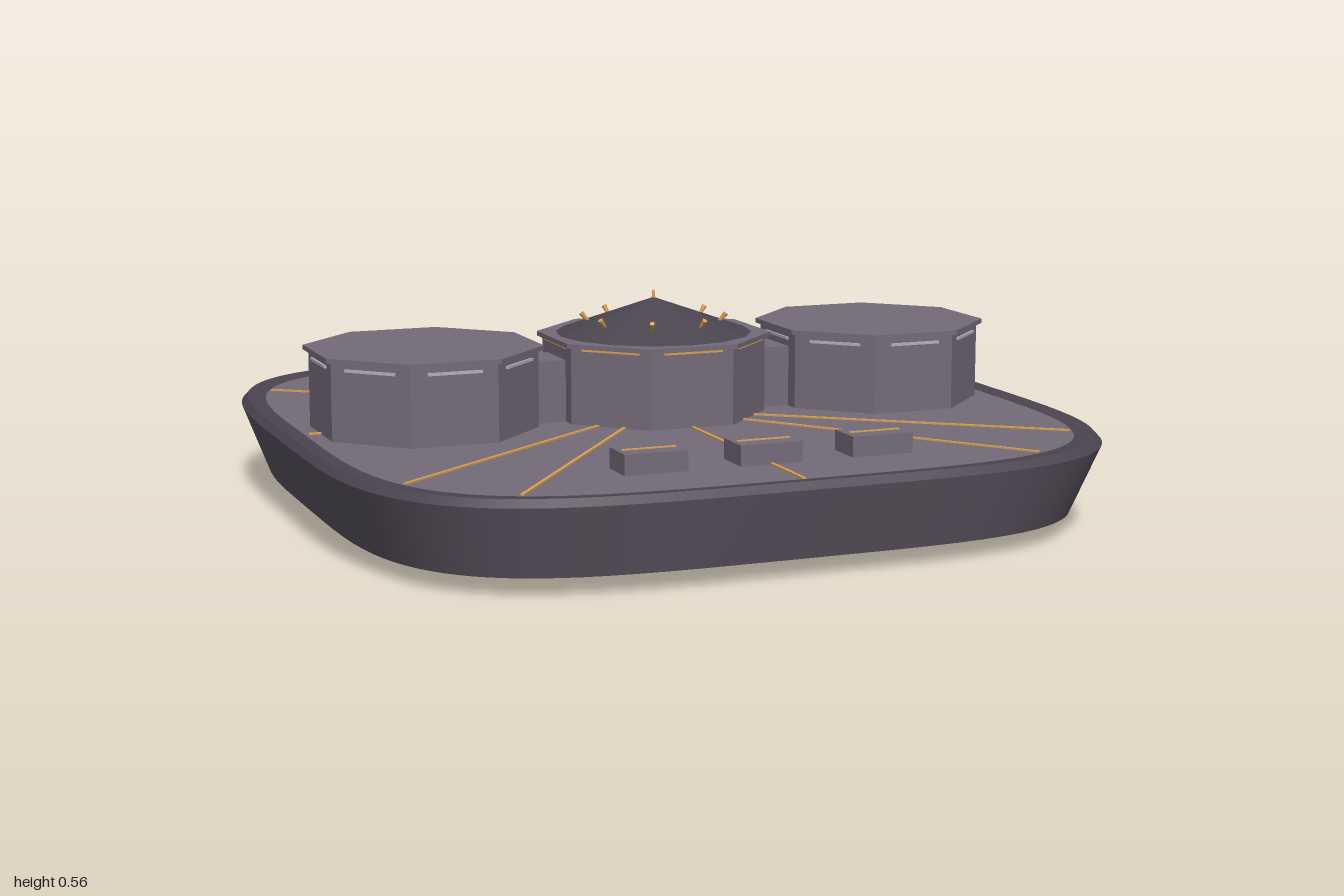
import * as THREE from 'three';

const paint = (name, color) => {
  const m = new THREE.MeshStandardMaterial({ color });
  m.name = name;
  return m;
};

export function createModel() {
  const model = new THREE.Group();
  const deckMat = paint('mauve deck', 0x756b7a);
  const hullMat = paint('grey hull', 0x625a67);
  const darkMat = paint('dark plate', 0x4b4550);
  const goldMat = paint('gold light', 0xdca050);
  const paleMat = paint('pale window', 0xb4b0ba);
  const redMat = paint('red lens', 0xb0402c);

  const add = (name, geo, mat, x = 0, y = 0, z = 0, ry = 0, parent = model) => {
    const mesh = new THREE.Mesh(geo, mat);
    mesh.name = name;
    mesh.position.set(x, y, z);
    mesh.rotation.y = ry;
    parent.add(mesh);
    return mesh;
  };
  const box = (w, h, d) => new THREE.BoxGeometry(w, h, d);

  // Band between two rounded-square outlines, each given as [scale, y]
  const band = ([s0, y0], [s1, y1], n = 96) => {
    const pos = [], index = [];
    const corner = (v) => Math.sign(v) * Math.sqrt(Math.abs(v));
    for (let i = 0; i < n; i++) {
      const t = (i / n) * Math.PI * 2;
      const x = corner(Math.cos(t)), z = corner(Math.sin(t));
      pos.push(x * s0, y0, z * s0, x * s1, y1, z * s1);
      const a = 2 * i, b = 2 * ((i + 1) % n);
      index.push(a, a + 1, b, a + 1, b + 1, b);
    }
    const g = new THREE.BufferGeometry();
    g.setAttribute('position', new THREE.Float32BufferAttribute(pos, 3));
    g.setIndex(index);
    g.computeVertexNormals();
    return g;
  };

  // Hull from the underside up to the deck
  add('underside', band([0, 0.018], [0.935, 0.045]), darkMat);
  add('hullSide', band([0.935, 0.045], [1, 0.222]), hullMat);
  add('rimEdge', band([1, 0.222], [0.985, 0.24]), darkMat);
  add('rimTop', band([0.985, 0.24], [0.94, 0.235]), darkMat);
  add('deck', band([0.94, 0.235], [0, 0.235]), deckMat);

  // Octagonal prism with flat sides on the axes
  const octagon = (halfWidth, height) => {
    const r = halfWidth / Math.cos(Math.PI / 8);
    const g = new THREE.CylinderGeometry(r, r, height, 8).rotateY(Math.PI / 8).toNonIndexed();
    g.computeVertexNormals();
    return g;
  };
  const building = (name, x, stripMat, stripY, stripWidth) => {
    const group = new THREE.Group();
    group.name = name;
    group.position.x = x;
    model.add(group);
    add('walls', octagon(0.27, 0.2), deckMat, 0, 0.335, 0, 0, group);
    add('roofSlab', octagon(0.283, 0.012), deckMat, 0, 0.439, 0, 0, group);
    for (let k = 0; k < 8; k++) {
      const a = (k * Math.PI) / 4;
      add('wallStrip', box(stripWidth, 0.007, 0.008), stripMat,
        Math.sin(a) * 0.272, stripY, Math.cos(a) * 0.272, a, group);
    }
    return group;
  };
  building('sidePodLeft', 0.628, paleMat, 0.416, 0.14);
  building('sidePodRight', -0.628, paleMat, 0.416, 0.14);
  const hub = building('centralHub', 0, goldMat, 0.43, 0.16);

  // Faceted cone roof with tip and ring of small lamps
  const cone = new THREE.ConeGeometry(0.26, 0.092, 16).toNonIndexed();
  cone.computeVertexNormals();
  add('coneRoof', cone, darkMat, 0, 0.49, 0, 0, hub);
  add('roofTip', new THREE.CylinderGeometry(0.003, 0.006, 0.03, 8), goldMat, 0, 0.54, 0, 0, hub);
  for (let k = 0; k < 8; k++) {
    const a = ((k + 0.5) * Math.PI) / 4;
    const lamp = add('roofLamp', new THREE.CylinderGeometry(0.007, 0.004, 0.03, 6), goldMat,
      Math.sin(a) * 0.18, 0.482, Math.cos(a) * 0.18, a, hub);
    lamp.rotation.order = 'YXZ';
    lamp.rotation.x = 0.7;
  }

  // Passages from hub to pods
  for (const s of [-1, 1]) {
    add('passage', box(0.12, 0.16, 0.14), deckMat, s * 0.315, 0.315, 0);
  }

  // Radial light lines on the deck, given as angle from +x and outer radius
  for (const sx of [-1, 1]) {
    for (const [x, z] of [[0.93, 0], [0.87, 0.66], [0.66, 0.87], [0, 0.94],
      [0.87, -0.66], [0.66, -0.87], [0, -0.94]]) {
      if (x === 0 && sx < 0) continue;
      const outer = Math.hypot(x, z), inner = z === 0 ? 0.85 : 0.25;
      const mid = (outer + inner) / 2 / outer;
      add('deckLine', box(outer - inner, 0.006, 0.009), goldMat,
        sx * x * mid, 0.236, z * mid, Math.atan2(-z, sx * x));
    }
  }

  // Deck lockers with a light on top
  for (const z of [-0.71, 0.71]) {
    for (const x of [-0.293, 0, 0.293]) {
      add('locker', box(0.16, 0.055, 0.1), deckMat, x, 0.258, z);
      add('lockerLight', box(0.136, 0.004, 0.009), goldMat, x, 0.286, z);
    }
  }

  // Rear hatch
  add('rearHatch', box(0.23, 0.09, 0.03), hullMat, 0, 0.095, -0.945);

  // Underside lens, thrusters and dashed light ring
  add('lensRing', new THREE.CylinderGeometry(0.165, 0.155, 0.02, 32), hullMat, 0, 0.02, 0);
  const lens = new THREE.SphereGeometry(0.14, 32, 8, 0, Math.PI * 2, Math.PI / 2, Math.PI / 2);
  add('lens', lens.scale(1, 0.01 / 0.14, 1), redMat, 0, 0.01, 0);
  for (let k = 0; k < 6; k++) {
    const a = ((k + 0.5) * Math.PI) / 3;
    const x = Math.cos(a) * 0.72, z = Math.sin(a) * 0.72;
    add('thruster', new THREE.CylinderGeometry(0.042, 0.034, 0.02, 16), darkMat, x, 0.033, z);
  }
  for (let k = 0; k < 32; k++) {
    const a = (k / 32) * Math.PI * 2;
    add('underLight', box(0.06, 0.008, 0.006), goldMat,
      Math.sin(a) * 0.52, 0.03, Math.cos(a) * 0.52, a);
  }
  return model;
}
